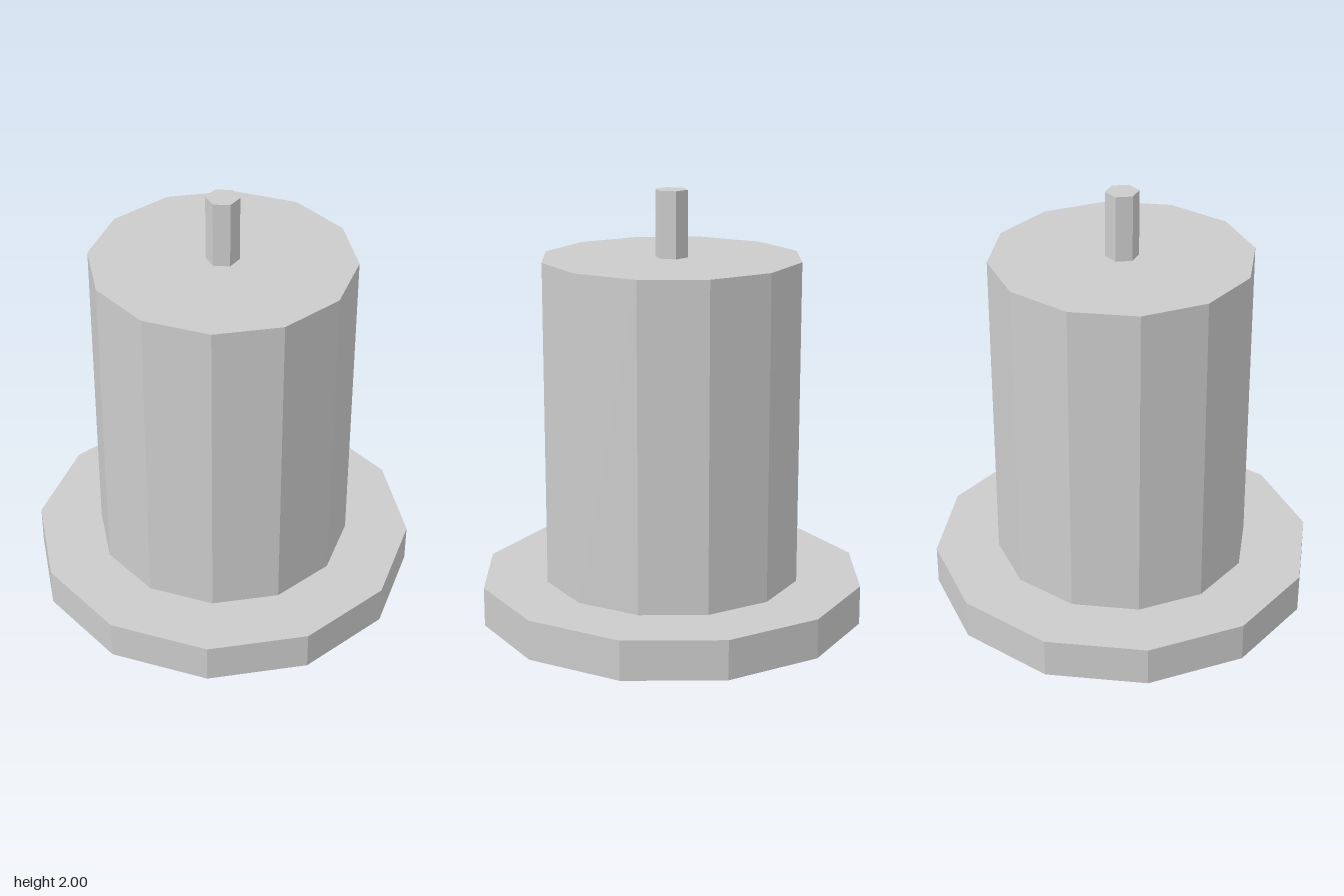
import * as THREE from 'three';

const material = new THREE.MeshStandardMaterial({ color: 0xcccccc, flatShading: true });

// Upright faceted prism between two heights, with corners on the z axis
function prism(name, radius, bottom, top, sides) {
  const geometry = new THREE.CylinderGeometry(radius, radius, top - bottom, sides);
  const mesh = new THREE.Mesh(geometry, material);
  mesh.name = name;
  mesh.position.y = (bottom + top) / 2;
  return mesh;
}

export function createModel() {
  const model = new THREE.Group();
  model.name = 'flangedCylinder';
  model.add(
    prism('baseFlange', 0.903, 0, 0.185, 12), // wide foot
    prism('body', 0.602, 0.185, 1.693, 12), // main drum
    prism('topPin', 0.076, 1.693, 2, 6) // hexagonal pin
  );
  return model;
}
